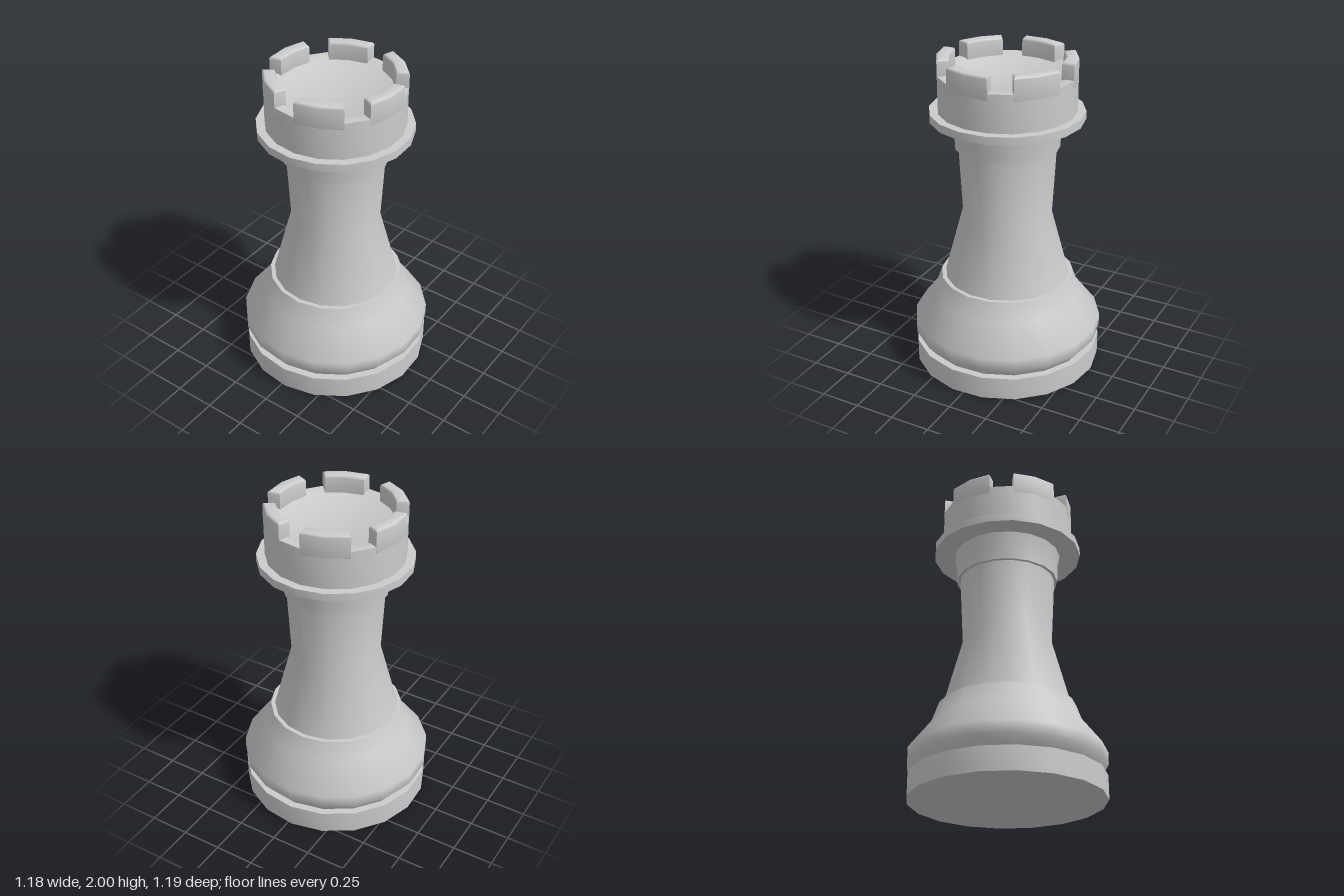
import * as THREE from 'three';
import { toCreasedNormals } from 'three/addons/utils/BufferGeometryUtils.js';

const SIDES = 18;
const START = THREE.MathUtils.degToRad(2.5); // slight turn of all rings
const STEP = (Math.PI * 2) / SIDES;
const CREASE = 0.8;

const material = new THREE.MeshStandardMaterial({ color: 0xcccccc });

function addMesh(group, name, geometry) {
  const mesh = new THREE.Mesh(toCreasedNormals(geometry, CREASE), material);
  mesh.name = name;
  group.add(mesh);
}

// Turned part from [radius, height] pairs, listed bottom to top
function turned(profile) {
  const points = profile.map(([r, y]) => new THREE.Vector2(r, y));
  return new THREE.LatheGeometry(points, SIDES, START, Math.PI * 2);
}

// Battlement block two sides long, with softened edges
function battlementGeometry(firstSide) {
  const bevel = 0.015, outer = 0.417 - bevel, inner = 0.34 + bevel;
  const a = START + firstSide * STEP;
  const at = (r, angle) => new THREE.Vector2(r * Math.sin(angle), -r * Math.cos(angle));
  const o = bevel / outer, i = bevel / inner;
  const shape = new THREE.Shape([
    at(outer, a + o), at(outer, a + STEP), at(outer, a + 2 * STEP - o),
    at(inner, a + 2 * STEP - i), at(inner, a + STEP), at(inner, a + i),
  ]);
  const geometry = new THREE.ExtrudeGeometry(shape, {
    depth: 0.12, bevelEnabled: true, bevelSize: bevel, bevelThickness: bevel, bevelSegments: 3,
  });
  return geometry.rotateX(-Math.PI / 2).translate(0, 1.865, 0);
}

export function createModel() {
  const group = new THREE.Group();
  group.name = 'rook';

  // Foot disc
  addMesh(group, 'base', turned([[0, 0], [0.59, 0], [0.59, 0.145], [0, 0.145]]));

  // Swelling lower body
  addMesh(group, 'lowerBody', turned([
    [0, 0.145], [0.545, 0.145], [0.595, 0.21], [0.595, 0.285], [0.46, 0.46], [0.418, 0.58], [0, 0.58],
  ]));

  // Waisted shaft
  addMesh(group, 'shaft', turned([[0.393, 0.575], [0.277, 1.01], [0.3, 1.45]]));

  // Collar under the rim
  addMesh(group, 'collar', turned([[0.28, 1.44], [0.319, 1.44], [0.323, 1.54], [0.338, 1.625]]));

  // Projecting rim
  addMesh(group, 'rim', turned([[0, 1.62], [0.468, 1.62], [0.468, 1.67], [0, 1.67]]));

  // Crown drum with a shallow sunken floor
  addMesh(group, 'crown', turned([
    [0.417, 1.665], [0.417, 1.9], [0.36, 1.9], [0.33, 1.885], [0, 1.885],
  ]));

  // Six battlements, each followed by a one-side gap
  for (let k = 0; k < SIDES; k += 3) addMesh(group, 'battlement', battlementGeometry(k));

  return group;
}
